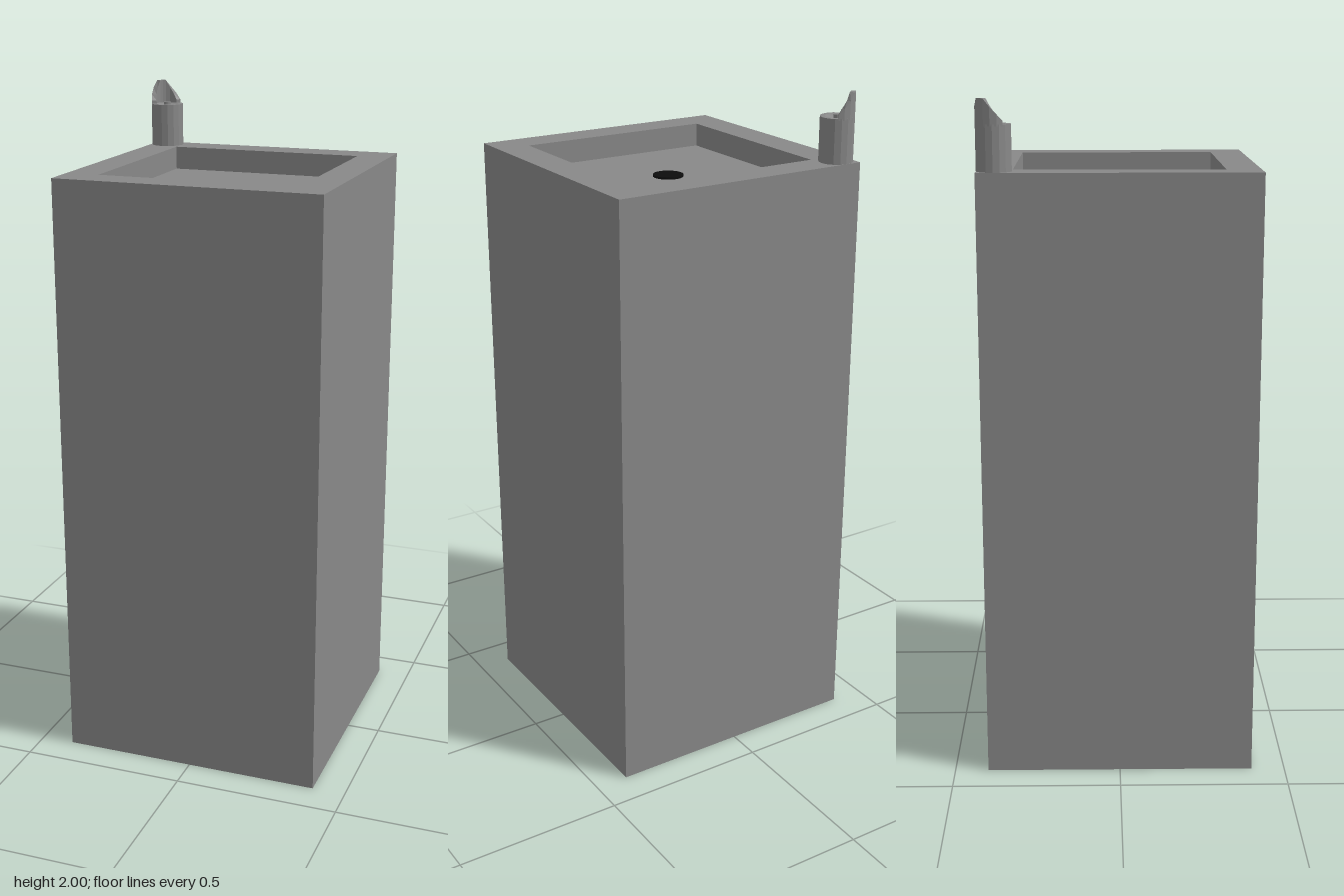
import * as THREE from 'three';

const grey = new THREE.MeshStandardMaterial({ color: 0x888888 });
grey.name = 'stone grey';
const black = new THREE.MeshStandardMaterial({ color: 0x0c0c0c });
black.name = 'drain black';

function part(name, geometry, material) {
  const mesh = new THREE.Mesh(geometry, material);
  mesh.name = name;
  return mesh;
}

// Faceted solid of revolution from [radius, height] points
function facetedLathe(points, sides, start = 0) {
  const profile = points.map(([r, y]) => new THREE.Vector2(r, y));
  const geometry = new THREE.LatheGeometry(profile, sides, start).toNonIndexed();
  geometry.computeVertexNormals();
  return geometry;
}

// Curved wall swept around the spout, its height set at each angle in degrees
function curvedWall(sections, inner, outer, base) {
  const positions = [];
  const index = [];
  sections.forEach(([deg, top], i) => {
    const a = THREE.MathUtils.degToRad(deg);
    for (const [r, y] of [[outer, base], [outer, top], [inner, top], [inner, base]]) {
      positions.push(r * Math.cos(a), y, r * Math.sin(a));
    }
    if (i === 0) return;
    const p = (i - 1) * 4, q = i * 4;
    for (let k = 0; k < 4; k++) {
      const n = (k + 1) % 4;
      index.push(p + k, p + n, q + k, q + k, p + n, q + n);
    }
  });
  const e = (sections.length - 1) * 4;
  index.push(0, 2, 1, 0, 3, 2, e, e + 1, e + 2, e, e + 2, e + 3);
  const indexed = new THREE.BufferGeometry();
  indexed.setAttribute('position', new THREE.Float32BufferAttribute(positions, 3));
  indexed.setIndex(index);
  const geometry = indexed.toNonIndexed();
  geometry.computeVertexNormals();
  return geometry;
}

export function createModel() {
  const model = new THREE.Group();
  model.name = 'drinkingFountain';

  // Square pedestal with a sunken basin, as a four-sided lathe
  const d = Math.SQRT2;
  model.add(part('pedestal', facetedLathe([
    [0, 0], [0.4 * d, 0], [0.4 * d, 1.8], [0.3 * d, 1.8], [0.3 * d, 1.73], [0, 1.73],
  ], 4, Math.PI / 4), grey));

  // Drain in the middle of the basin
  const drain = part('drain', new THREE.CylinderGeometry(0.045, 0.045, 0.006, 40), black);
  drain.position.set(-0.002, 1.733, -0.003);
  model.add(drain);

  // Spout on the back right corner: dished post, nozzle and sloping guard
  const spout = new THREE.Group();
  spout.name = 'spout';
  spout.position.set(-0.35, 1.8, -0.35);
  spout.add(part('spoutPost', facetedLathe([
    [0.05, 0], [0.05, 0.13], [0.036, 0.13], [0.011, 0.122], [0.011, 0.135], [0, 0.135],
  ], 16), grey));
  spout.add(part('spoutGuard', curvedWall([
    [145, 0.14], [165, 0.158], [187, 0.178], [209, 0.2],
    [225, 0.2], [241, 0.2], [263, 0.178], [285, 0.158], [305, 0.14],
  ], 0.035, 0.05, 0.125), grey));
  model.add(spout);

  return model;
}
